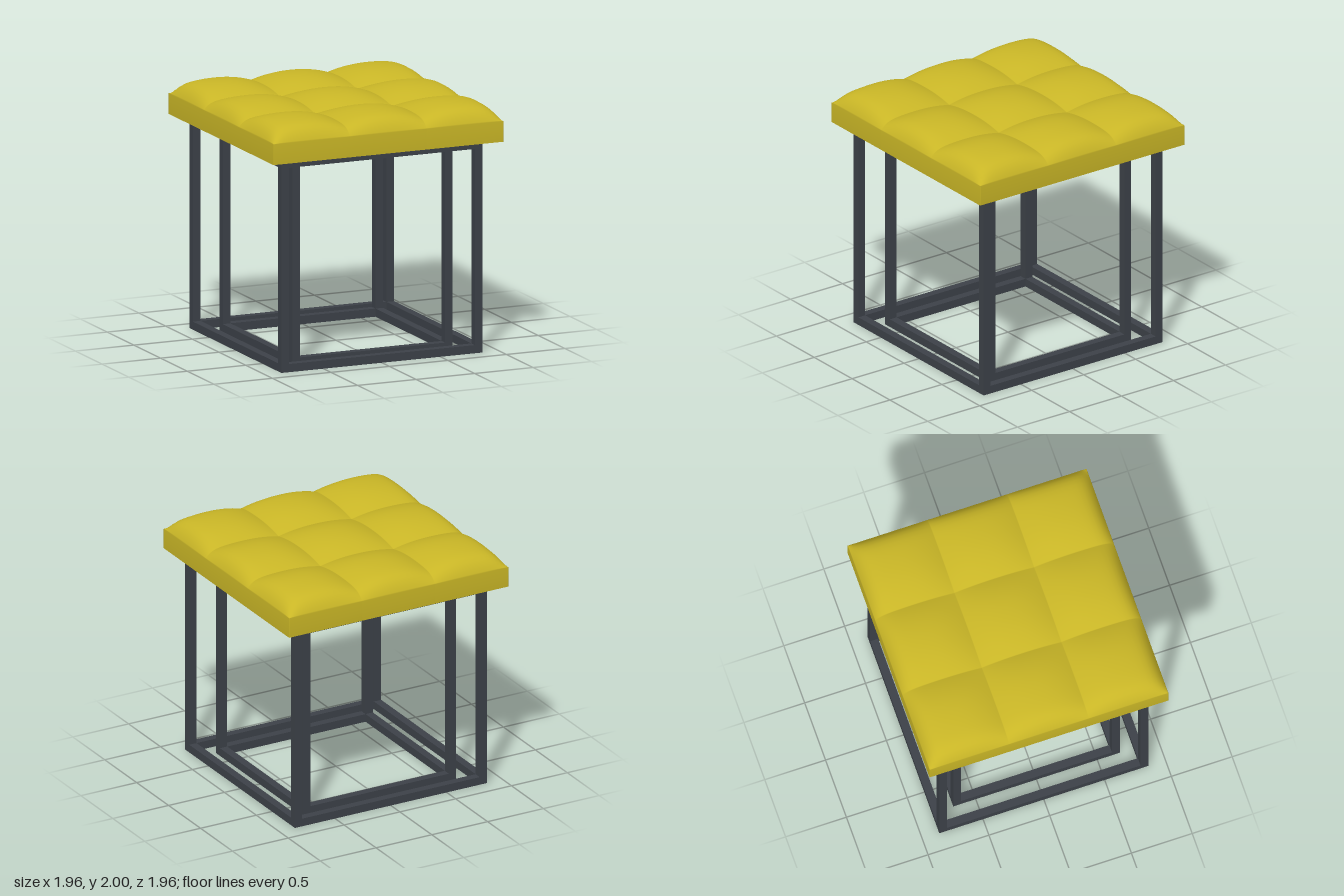
import * as THREE from 'three';
import { mergeVertices } from 'three/addons/utils/BufferGeometryUtils.js';

const FRAME_TOP = 1.695, BAR = 0.065, HALF = 0.982, EDGE = 1.86, PUFF = 0.14;

// Open cube of square bars
function cubeFrame(name, half, material) {
  const group = new THREE.Group();
  group.name = name;
  const add = (part, w, h, d, x, y, z) => {
    const mesh = new THREE.Mesh(new THREE.BoxGeometry(w, h, d), material);
    mesh.name = part;
    mesh.position.set(x, y, z);
    group.add(mesh);
  };
  const c = half - BAR / 2;
  const inner = 2 * (half - BAR);
  for (const s of [-1, 1]) {
    for (const t of [-1, 1]) {
      add('leg', BAR, FRAME_TOP - 2 * BAR, BAR, s * c, FRAME_TOP / 2, t * c);
    }
    for (const y of [BAR / 2, FRAME_TOP - BAR / 2]) {
      add('crossRail', 2 * half, BAR, BAR, 0, y, s * c);
      add('sideRail', BAR, BAR, inner, s * c, y, 0);
    }
  }
  return group;
}

// For a grid coordinate u in -1..1: position across the seat and puff factor
function lobe(u) {
  const index = Math.max(-1, Math.min(1, Math.round(u * 1.5)));
  const t = Math.max(-1, Math.min(1, u * 3 - index * 2));
  const s = Math.sin(t * Math.PI / 2); // finer steps near seams and rim
  const a = Math.abs(s);
  const rim = index !== 0 && s * index > 0;
  return {
    pos: (index * 2 + s) / 3 * HALF,
    puff: 1 - (rim ? 0.3 * a ** 2 + 0.7 * a ** 7 : 0.43 * a ** 2.2),
  };
}

// Tufted cushion: a dense box whose top swells into three by three pillows
function cushionGeometry() {
  let geo = new THREE.BoxGeometry(2, 1, 2, 60, 2, 60);
  geo.deleteAttribute('normal');
  geo.deleteAttribute('uv');
  geo = mergeVertices(geo);
  const p = geo.attributes.position;
  for (let i = 0; i < p.count; i++) {
    const x = lobe(p.getX(i)), z = lobe(p.getZ(i));
    const top = EDGE + PUFF * x.puff * z.puff;
    p.setXYZ(i, x.pos, FRAME_TOP + (p.getY(i) + 0.5) * (top - FRAME_TOP), z.pos);
  }
  geo.computeVertexNormals();
  return geo;
}

export function createModel() {
  const metal = new THREE.MeshStandardMaterial({ color: 0x3c4148 });
  metal.name = 'dark grey metal';
  const fabric = new THREE.MeshStandardMaterial({ color: 0xc9b626 });
  fabric.name = 'mustard upholstery';

  const model = new THREE.Group();
  model.name = 'stool';
  model.add(cubeFrame('outerFrame', 0.86, metal));
  model.add(cubeFrame('innerFrame', 0.685, metal));

  const cushion = new THREE.Mesh(cushionGeometry(), fabric);
  cushion.name = 'cushion';
  model.add(cushion);
  return model;
}
